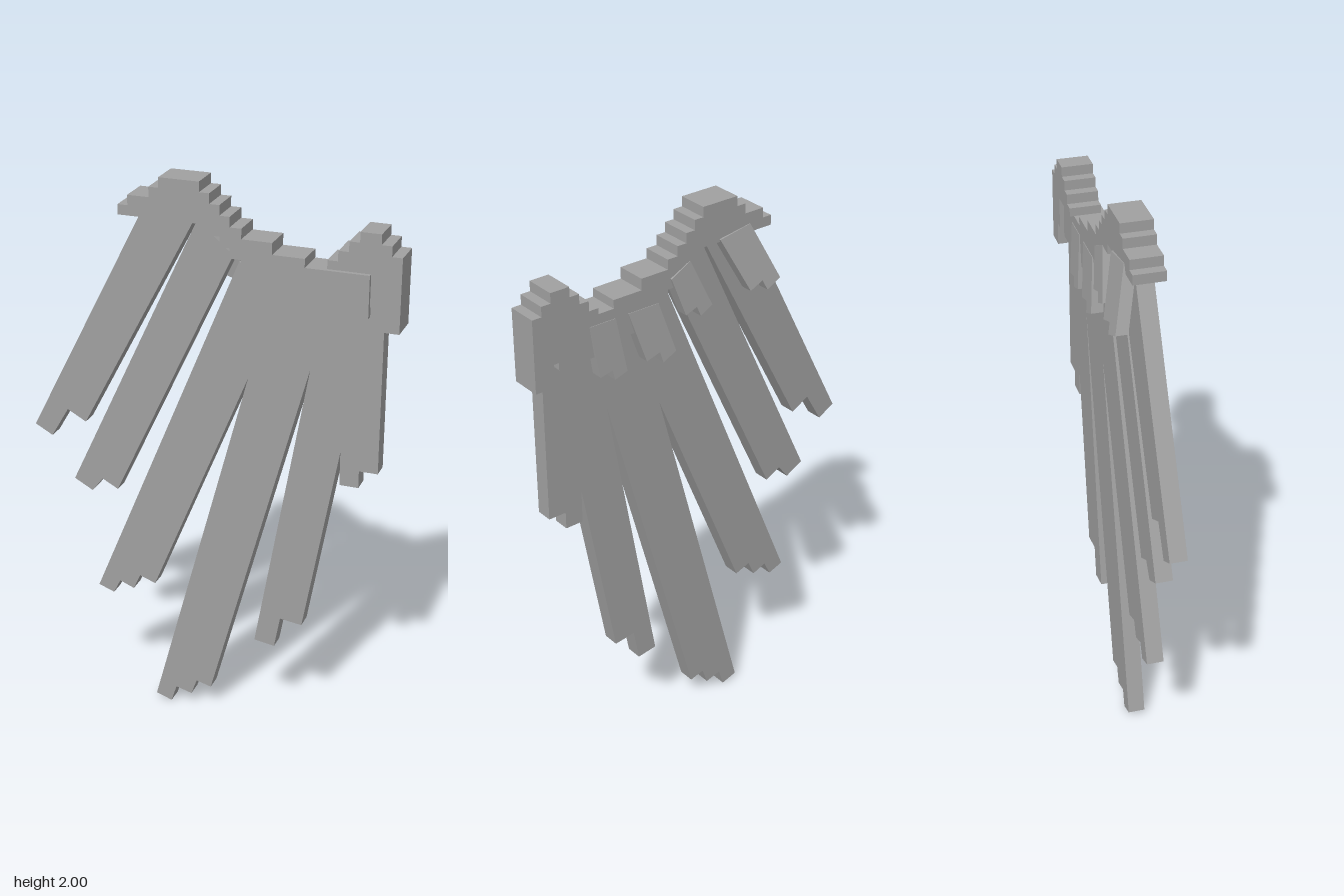
import * as THREE from 'three';

export function createModel() {
  const wing = new THREE.Group();
  wing.name = 'wing';
  const grey = new THREE.MeshStandardMaterial({ color: 0xa0a0a0 });
  grey.name = 'wing grey';

  // Flat plate from an outline of [x, y] points between two depths;
  // lean pushes its lower end backwards
  function plate(name, outline, zBack, zFront, lean = 0, yTop = 0) {
    const shape = new THREE.Shape(outline.map(([x, y]) => new THREE.Vector2(x, y)));
    const geo = new THREE.ExtrudeGeometry(shape, { depth: zFront - zBack, bevelEnabled: false });
    const p = geo.attributes.position;
    for (let i = 0; i < p.count; i++) {
      p.setZ(i, p.getZ(i) + zBack - lean * (yTop - p.getY(i)));
    }
    geo.computeVertexNormals();
    const mesh = new THREE.Mesh(geo, grey);
    mesh.name = name;
    wing.add(mesh);
  }

  // Stepped arm along the top
  plate('wingArm', [
    [-0.31, 1.86], [-0.31, 1.895], [-0.275, 1.895], [-0.275, 1.93], [-0.2, 1.93], [-0.2, 1.965],
    [-0.165, 1.965], [-0.165, 2], [-0.025, 2], [-0.025, 1.965], [0.01, 1.965], [0.01, 1.93],
    [0.045, 1.93], [0.045, 1.895], [0.08, 1.895], [0.08, 1.86], [0.12, 1.86], [0.12, 1.825],
    [0.155, 1.825], [0.225, 1.825], [0.225, 1.785], [0.335, 1.785], [0.335, 1.755], [0.55, 1.755],
    [0.55, 1.61], [0.3, 1.61], [0.3, 1.645], [0.195, 1.645], [0.195, 1.68], [0.155, 1.68],
    [0.155, 1.72], [0.12, 1.72], [0.12, 1.755], [0.08, 1.755], [0.08, 1.79], [0.045, 1.79],
    [0.045, 1.825], [-0.025, 1.825], [-0.025, 1.86],
  ], -0.03, 0.08);

  // Stepped shoulder block at the root
  plate('shoulder', [
    [0.405, 1.755], [0.405, 1.785], [0.44, 1.785], [0.44, 1.82], [0.475, 1.82], [0.475, 1.855],
    [0.51, 1.855], [0.51, 1.89], [0.58, 1.89], [0.58, 1.855], [0.615, 1.855], [0.615, 1.82],
    [0.65, 1.82], [0.65, 1.565], [0.58, 1.565], [0.58, 1.645], [0.55, 1.645], [0.55, 1.755],
  ], -0.045, 0.065);

  // Long feathers: top left, notched tip from left to right, top right
  const feathers = [
    [[-0.24, 1.865], [-0.658, 1.045], [-0.594, 1.01], [-0.53, 1.12], [-0.462, 1.083], [-0.05, 1.865]],
    [[-0.04, 1.865], [-0.512, 0.855], [-0.444, 0.818], [-0.404, 0.871], [-0.346, 0.84], [0.085, 1.76]],
    [[0.105, 1.74], [-0.43, 0.437], [-0.372, 0.416], [-0.346, 0.469], [-0.293, 0.448],
      [-0.267, 0.506], [-0.209, 0.485], [0.28, 1.68]],
    [[0.225, 1.66], [-0.209, 0.019], [-0.15, 0], [-0.13, 0.064], [-0.071, 0.048],
      [-0.05, 0.108], [0.005, 0.093], [0.425, 1.66]],
    [[0.4, 1.66], [0.172, 0.331], [0.246, 0.32], [0.267, 0.437], [0.346, 0.427], [0.56, 1.65]],
    [[0.467, 1.65], [0.467, 0.998], [0.533, 0.998], [0.533, 1.06], [0.598, 1.06], [0.598, 1.65]],
  ];
  feathers.forEach((f, i) => plate(`longFeather${i + 1}`, f, -0.003, 0.057));

  // Short covert feathers leaning out of the back
  const coverts = [
    { lean: 0.26, top: 1.89, pts: [[-0.22, 1.89], [-0.31, 1.69], [-0.25, 1.665], [-0.235, 1.7], [-0.18, 1.68], [-0.09, 1.87]] },
    { lean: 0.12, top: 1.83, pts: [[0.03, 1.83], [-0.045, 1.66], [0.005, 1.635], [0.018, 1.67], [0.065, 1.655], [0.11, 1.79]] },
    { lean: 0.11, top: 1.72, pts: [[0.16, 1.72], [0.105, 1.54], [0.16, 1.515], [0.17, 1.555], [0.225, 1.54], [0.28, 1.72]] },
    { lean: 0.08, top: 1.72, pts: [[0.33, 1.72], [0.3, 1.53], [0.35, 1.515], [0.357, 1.55], [0.405, 1.54], [0.43, 1.72]] },
  ];
  coverts.forEach((c, i) => plate(`covertFeather${i + 1}`, c.pts, -0.032, 0.01, c.lean, c.top));

  return wing;
}
